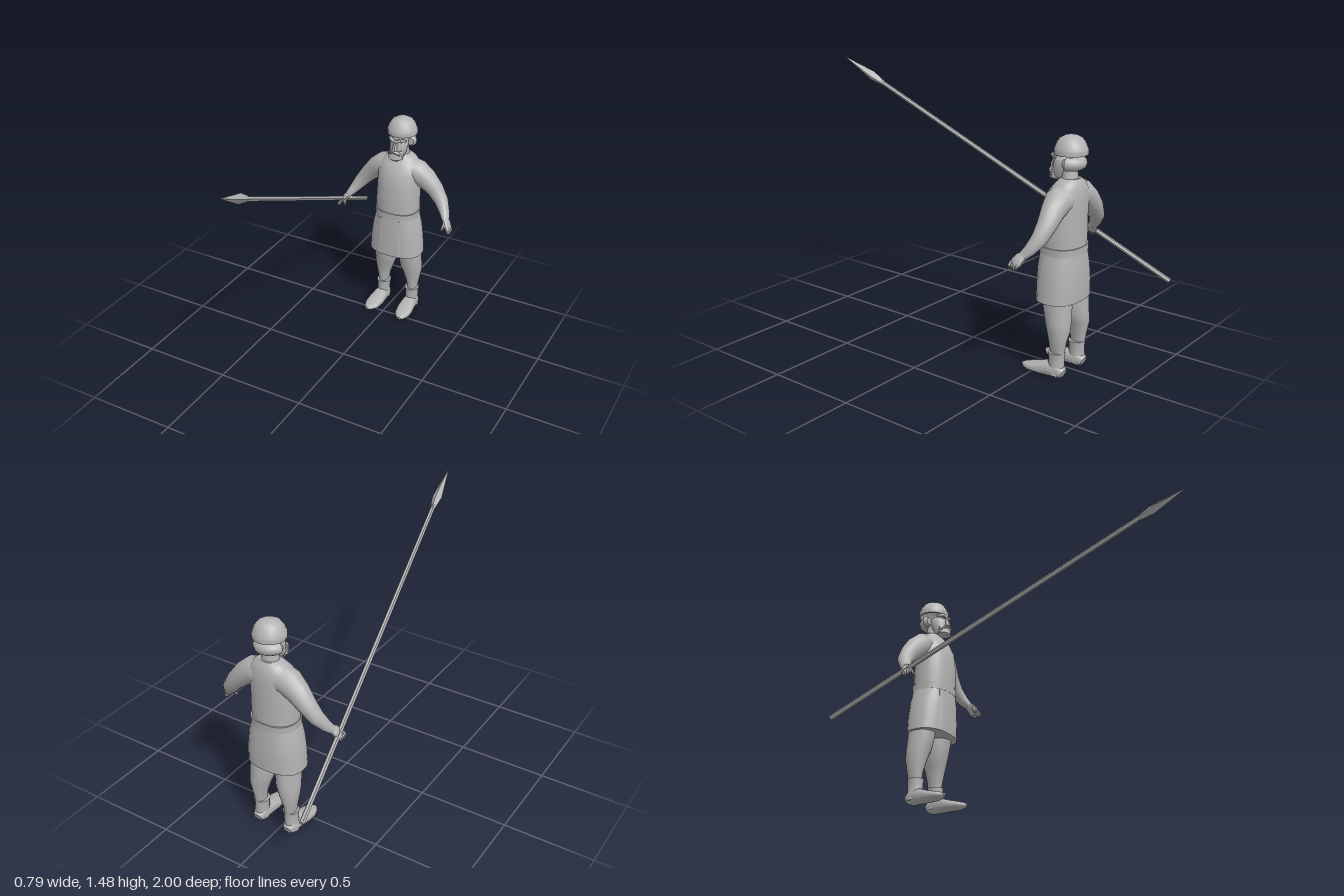
import * as THREE from 'three';
import { toCreasedNormals } from 'three/addons/utils/BufferGeometryUtils.js';

const CX = 0.03; // the figure's own mid-plane
const V = (x, y, z) => new THREE.Vector3(x, y, z);
const Y = V(0, 1, 0), Z = V(0, 0, 1);

// Skin rings [x, y, z, ru, rv] set square to their path; ref fixes the rv axis.
function loft(rings, { n = 16, ref = Z, p = 1, flat = false, crease = 0.7 } = {}) {
  const c = rings.map(r => V(r[0], r[1], r[2]));
  const pos = [], idx = [], last = rings.length - 1;
  rings.forEach((r, i) => {
    const t = flat ? Y.clone() : c[Math.min(i + 1, last)].clone().sub(c[Math.max(i - 1, 0)]).normalize();
    const v = ref.clone().addScaledVector(t, -ref.dot(t)).normalize();
    const u = t.clone().cross(v);
    for (let j = 0; j < n; j++) {
      const a = (j / n) * Math.PI * 2;
      const f = k => Math.sign(k) * Math.pow(Math.abs(k), p);
      const q = c[i].clone().addScaledVector(u, r[3] * f(Math.cos(a))).addScaledVector(v, r[4] * f(Math.sin(a)));
      pos.push(q.x, q.y, q.z);
    }
  });
  for (let i = 0; i < last; i++) for (let j = 0; j < n; j++) {
    const a = i * n + j, b = i * n + (j + 1) % n;
    idx.push(a, a + n, b, b, a + n, b + n);
  }
  const s = pos.length / 3;
  pos.push(...c[0].toArray(), ...c[last].toArray());
  for (let j = 0; j < n; j++) {
    const k = (j + 1) % n;
    idx.push(s, j, k, s + 1, last * n + k, last * n + j);
  }
  const g = new THREE.BufferGeometry();
  g.setAttribute('position', new THREE.Float32BufferAttribute(pos, 3));
  g.setIndex(idx);
  return toCreasedNormals(g, crease);
}

export function createModel() {
  const model = new THREE.Group();
  const grey = new THREE.MeshStandardMaterial({ color: 0xb3b3b3, side: THREE.DoubleSide });
  grey.name = 'plain grey';
  const add = (name, geo, parent = model) => {
    const m = new THREE.Mesh(geo, grey);
    m.name = name;
    parent.add(m);
    return m;
  };

  // Tunic: skirt, belt and upper body
  const body = { n: 24, p: 0.8, flat: true };
  add('skirt', loft([
    [CX, 0.41, -0.61, 0.161, 0.112], [CX, 0.5, -0.61, 0.156, 0.114],
    [CX, 0.59, -0.608, 0.144, 0.112], [CX, 0.665, -0.607, 0.125, 0.106],
  ], body));
  add('belt', loft([
    [CX, 0.655, -0.607, 0.128, 0.108], [CX, 0.695, -0.607, 0.13, 0.109],
  ], body));
  add('torso', loft([
    [CX, 0.65, -0.607, 0.123, 0.104], [CX, 0.74, -0.606, 0.13, 0.107],
    [CX, 0.85, -0.608, 0.126, 0.105], [CX, 0.93, -0.615, 0.127, 0.098],
    [CX, 0.985, -0.626, 0.118, 0.082], [CX, 1.02, -0.634, 0.088, 0.062],
    [CX, 1.04, -0.636, 0.055, 0.046],
  ], { ...body, p: 0.9 }));
  // Overlapping front panel of the skirt
  add('skirtPanel', loft([
    [CX - 0.005, 0.41, -0.53, 0.085, 0.033], [CX - 0.005, 0.5, -0.53, 0.084, 0.035],
    [CX - 0.005, 0.65, -0.53, 0.082, 0.028],
  ], { p: 0.5, flat: true }));

  // Head
  const head = new THREE.Group();
  head.name = 'head';
  model.add(head);
  add('neck', loft([[CX, 1.02, -0.635, 0.05, 0.042], [CX, 1.07, -0.628, 0.042, 0.04],
    [CX, 1.12, -0.62, 0.042, 0.04]], { flat: true }), head);
  add('face', loft([
    [CX, 1.035, -0.575, 0.036, 0.035], [CX, 1.06, -0.582, 0.048, 0.046],
    [CX, 1.1, -0.592, 0.052, 0.054], [CX, 1.13, -0.596, 0.05, 0.052],
    [CX, 1.145, -0.6, 0.036, 0.036],
  ], { flat: true }), head);
  add('nose', loft([
    [CX, 1.085, -0.535, 0.016, 0.02], [CX, 1.095, -0.535, 0.015, 0.02], [CX, 1.14, -0.545, 0.007, 0.009],
  ], { n: 6, flat: true }), head);
  add('beard', loft([
    [CX, 1.022, -0.552, 0.026, 0.025], [CX, 1.032, -0.552, 0.044, 0.035],
    [CX, 1.06, -0.555, 0.048, 0.032], [CX, 1.082, -0.558, 0.04, 0.028],
  ], { n: 10, flat: true }), head);
  for (const s of [-1, 1]) {
    add('brow', loft([[CX, 1.138, -0.54, 0.01, 0.012], [CX + s * 0.03, 1.148, -0.545, 0.01, 0.012],
      [CX + s * 0.055, 1.14, -0.575, 0.005, 0.007]], { n: 8, ref: Y }), head);
    add('moustache', loft([[CX, 1.078, -0.53, 0.012, 0.01], [CX + s * 0.025, 1.07, -0.533, 0.012, 0.01],
      [CX + s * 0.045, 1.05, -0.55, 0.005, 0.005]], { n: 8, ref: Y }), head);
  }
  // Roll of hair round the back of the head
  const hair = [];
  for (let i = 0; i <= 12; i++) {
    const a = (i / 12) * Math.PI, r = i % 12 ? 0.034 : 0.022;
    hair.push([CX + 0.054 * Math.cos(a), 1.116, -0.625 - 0.055 * Math.sin(a), r, r]);
  }
  add('hair', loft(hair, { n: 10, ref: Y }), head);

  // Helmet with a wider lower band
  const cap = [[0.078, 1.158], [0.086, 1.16], [0.087, 1.185], [0.081, 1.198], [0.075, 1.215],
    [0.058, 1.238], [0.032, 1.252], [0, 1.255]].map(q => new THREE.Vector2(q[0], q[1]));
  add('helmet', toCreasedNormals(new THREE.LatheGeometry(cap, 16), 0.6), head).position.set(CX, 0, -0.633);

  // Limbs, mirrored about the mid-plane
  for (const s of [-1, 1]) {
    const side = s > 0 ? 'left' : 'right';
    const limb = (name, pts, opt) =>
      add(side + name, loft(pts.map(q => [CX + s * q[0], ...q.slice(1)]), opt));

    limb('Arm', [
      [0.05, 0.945, -0.628, 0.075, 0.075], [0.11, 0.935, -0.632, 0.073, 0.07],
      [0.16, 0.9, -0.638, 0.063, 0.06], [0.215, 0.845, -0.642, 0.05, 0.05],
      [0.262, 0.785, -0.632, 0.04, 0.042], [0.296, 0.735, -0.603, 0.028, 0.032],
      [0.316, 0.705, -0.578, 0.02, 0.025],
    ]);
    limb('Hand', [
      [0.31, 0.712, -0.584, 0.017, 0.022], [0.326, 0.695, -0.568, 0.018, 0.031],
      [0.342, 0.672, -0.556, 0.015, 0.034], [0.35, 0.66, -0.55, 0.009, 0.028],
    ], { n: 10 });
    // Fingers and thumb
    for (let i = 0; i < 4; i++) {
      const z = -0.574 + i * 0.015;
      limb('Finger', [[0.342, 0.676, z, 0.009, 0.009], [0.357, 0.656, z + 0.005, 0.008, 0.008],
        [0.356, 0.637 + Math.abs(i - 1) * 0.005, z + 0.009, 0.005, 0.005]], { n: 6 });
    }
    limb('Thumb', [[0.322, 0.695, -0.552, 0.011, 0.011], [0.318, 0.672, -0.535, 0.009, 0.009],
      [0.312, 0.655, -0.528, 0.005, 0.005]], { n: 6 });

    limb('Leg', [
      [0.078, 0.45, -0.622, 0.066, 0.08], [0.079, 0.38, -0.628, 0.067, 0.078],
      [0.083, 0.31, -0.637, 0.066, 0.07], [0.092, 0.26, -0.645, 0.055, 0.063],
      [0.097, 0.19, -0.645, 0.036, 0.048], [0.096, 0.12, -0.645, 0.026, 0.038],
    ], { flat: true });
    limb('BootShaft', [
      [0.097, 0.02, -0.642, 0.04, 0.04], [0.096, 0.07, -0.64, 0.036, 0.044],
      [0.095, 0.115, -0.64, 0.038, 0.043], [0.095, 0.142, -0.64, 0.043, 0.046],
      [0.095, 0.143, -0.64, 0.03, 0.038],
    ], { flat: true });
    limb('BootFoot', [
      [0.096, 0.03, -0.684, 0.026, 0.025], [0.096, 0.04, -0.66, 0.038, 0.04],
      [0.097, 0.043, -0.6, 0.042, 0.041], [0.1, 0.034, -0.545, 0.049, 0.03],
      [0.104, 0.028, -0.49, 0.045, 0.021], [0.109, 0.027, -0.455, 0.026, 0.014],
      [0.111, 0.028, -0.44, 0.008, 0.007],
    ], { n: 14, ref: Y, p: 0.8 });
  }

  // Spear held in the right hand
  const butt = V(-0.386, 0.455, -0.994), tip = V(-0.053, 1.485, 1.0);
  const at = (t, a, b) => [...butt.clone().lerp(tip, t).toArray(), a, b];
  add('spearShaft', loft([at(0, 0.014, 0.014), at(0.88, 0.013, 0.013)], { n: 6, ref: Y, crease: 0.4 }));
  add('spearHead', loft([at(0.865, 0.013, 0.014), at(0.905, 0.027, 0.027), at(1, 0.001, 0.001)],
    { n: 4, ref: Y, crease: 0.2 }));

  return model;
}
